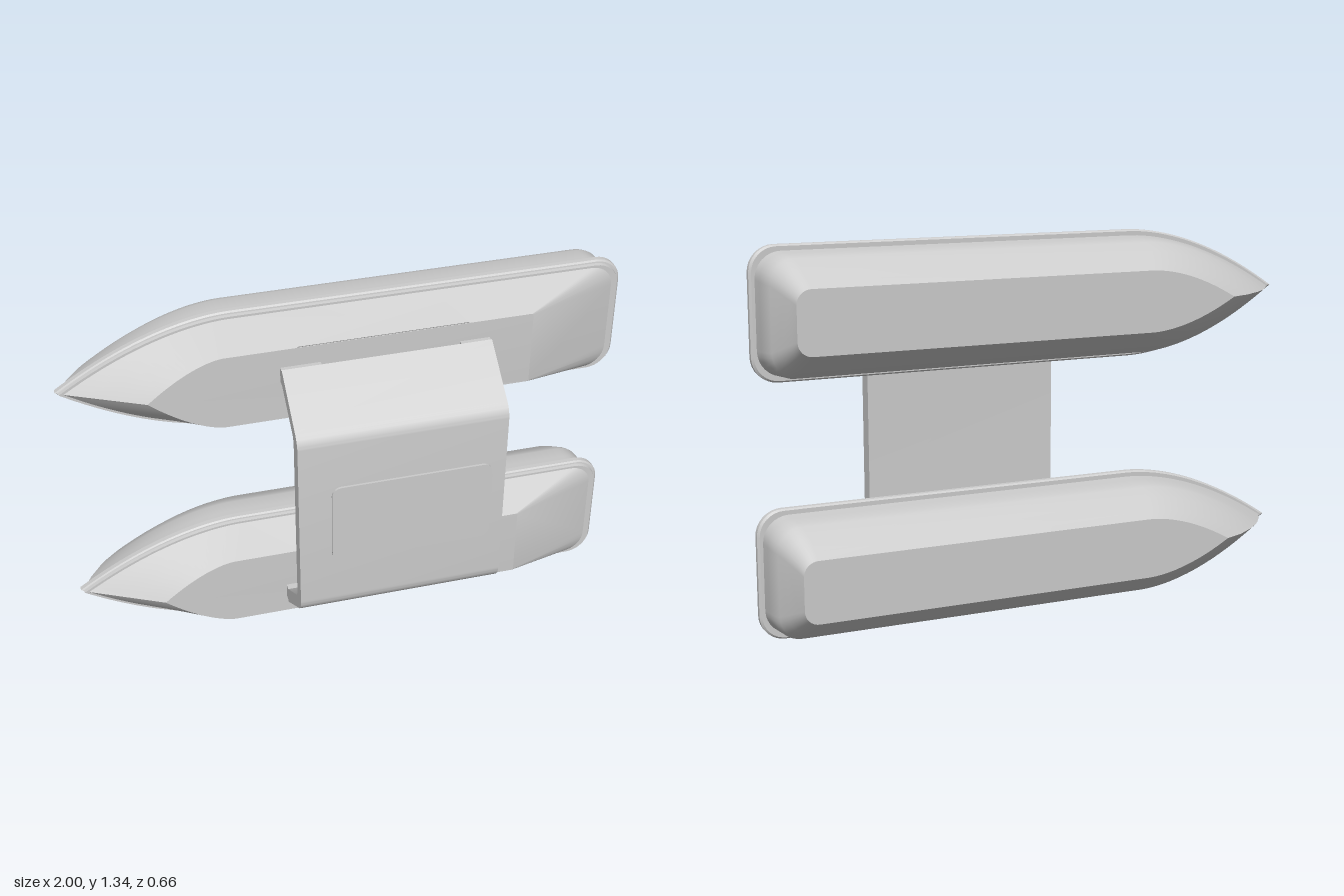
import * as THREE from 'three';
import { toCreasedNormals } from 'three/addons/utils/BufferGeometryUtils.js';

const MID = 0.67; // height of the mirror line between the two hulls
const mat = new THREE.MeshStandardMaterial({ color: 0xcccccc });

function add(parent, geo, name) {
  const mesh = new THREE.Mesh(geo, mat);
  mesh.name = name;
  parent.add(mesh);
  return mesh;
}

// Boat plan outline: pointed bow at -x, rounded stern corners at +x
function outline({ bow, bowEnd, stern, half, r, p = 1.8 }) {
  const side = [];
  const nBow = 20, nArc = 8;
  for (let i = 0; i <= nBow; i++) {
    const t = i / nBow;
    side.push([bow + (bowEnd - bow) * t, half * (1 - Math.pow(1 - t, p))]);
  }
  for (let i = 0; i <= nArc; i++) {
    const a = (i / nArc) * Math.PI / 2;
    side.push([stern - r + r * Math.sin(a), half - r + r * Math.cos(a)]);
  }
  const other = side.slice(1).reverse().map(([x, y]) => [x, -y]);
  return side.concat(other);
}

// Skin over outlines stacked along z, closed at both ends
function loft(levels, crease) {
  const pos = [], idx = [];
  let n = 0;
  for (const level of levels) {
    const pts = outline(level);
    n = pts.length;
    for (const [x, y] of pts) pos.push(x, y, level.z);
  }
  const last = (levels.length - 1) * n;
  for (let l = 0; l < levels.length - 1; l++) {
    for (let i = 0; i < n; i++) {
      const a = l * n + i, b = l * n + (i + 1) % n, c = b + n, d = a + n;
      idx.push(a, d, c, a, c, b);
    }
  }
  for (let i = 1; i < n - 1; i++) idx.push(0, i, i + 1, last, last + i + 1, last + i);
  const geo = new THREE.BufferGeometry();
  geo.setAttribute('position', new THREE.Float32BufferAttribute(pos, 3));
  geo.setIndex(idx);
  return toCreasedNormals(geo, crease);
}

const level = (z, bow, bowEnd, stern, half, r, p) => ({ z, bow, bowEnd, stern, half, r, p });

// Thin trapezoid lying on the sloping side of the deck
function sidePanelGeometry() {
  const s = new THREE.Shape();
  s.moveTo(-0.2, 0);
  s.lineTo(0.4, 0);
  s.lineTo(0.34, 0.092);
  s.lineTo(-0.14, 0.092);
  return new THREE.ExtrudeGeometry(s, { depth: 0.006, bevelEnabled: false });
}

function createHull(outer) {
  const hull = new THREE.Group();
  // lower body
  add(hull, loft([
    level(-0.33, -0.69, -0.36, 0.915, 0.108, 0.05),
    level(-0.3, -0.765, -0.38, 0.925, 0.13, 0.06),
    level(-0.25, -0.84, -0.4, 0.945, 0.165, 0.075),
    level(-0.205, -0.892, -0.4, 0.963, 0.193, 0.085),
    level(-0.185, -0.91, -0.4, 0.972, 0.2, 0.09),
    level(-0.13, -0.953, -0.4, 0.976, 0.204, 0.09),
    level(-0.075, -0.985, -0.4, 0.98, 0.208, 0.09),
  ], 0.5), 'hullBody');
  // rub rail around the joint
  add(hull, loft([
    level(-0.088, -0.988, -0.4, 0.99, 0.222, 0.085),
    level(-0.082, -1, -0.4, 0.998, 0.2275, 0.09),
    level(-0.064, -1, -0.4, 0.998, 0.2275, 0.09),
    level(-0.059, -0.994, -0.4, 0.992, 0.222, 0.085),
    level(-0.058, -0.99, -0.4, 0.988, 0.217, 0.085),
    level(-0.046, -0.988, -0.4, 0.986, 0.215, 0.085),
  ], 0.4), 'rubRail');
  // sloping deck with a flat top and a ramp at the stern
  add(hull, loft([
    level(-0.05, -0.98, -0.4, 0.975, 0.209, 0.08),
    level(0.082, -0.71, -0.45, 0.63, 0.14, 0.006, 1.6),
  ], 0.4), 'deck');
  // panel on the outboard slope
  const panel = add(hull, sidePanelGeometry(), 'sidePanel');
  const slope = Math.atan2(0.069, 0.132);
  panel.position.set(0, 0.139, 0.08);
  panel.rotation.x = -(Math.PI / 2 - slope);
  if (outer < 0) hull.rotation.x = 0;
  return hull;
}

// Folded plate joining the hulls, drawn as (-z, y) and extruded along x
function bridgeGeometry() {
  const up = [ // upper half: outer edge from the middle, then inner edge back
    [0.32, 1.0], [0.32, 1.035], [0.292, 1.057], [0.107, 1.19],
    [0.082, 1.145], [0.25, 1.028], [0.265, 1.017], [0.265, 0.985],
  ];
  const P = (i, m) => [-up[i][0], m ? 2 * MID - up[i][1] : up[i][1]];
  const s = new THREE.Shape();
  s.moveTo(...P(0));
  s.quadraticCurveTo(...P(1), ...P(2));
  s.lineTo(...P(3));
  s.lineTo(...P(4));
  s.lineTo(...P(5));
  s.quadraticCurveTo(...P(6), ...P(7));
  s.lineTo(...P(7, true));
  s.quadraticCurveTo(...P(6, true), ...P(5, true));
  s.lineTo(...P(4, true));
  s.lineTo(...P(3, true));
  s.lineTo(...P(2, true));
  s.quadraticCurveTo(...P(1, true), ...P(0, true));
  s.closePath();
  const geo = new THREE.ExtrudeGeometry(s, { depth: 0.735, bevelEnabled: false, curveSegments: 10 });
  geo.rotateY(Math.PI / 2).translate(-0.26, 0, 0);
  return toCreasedNormals(geo, 0.5);
}

// Raised rounded plate on the face of the bridge
function plateGeometry(x0, x1, y0, y1, r) {
  const s = new THREE.Shape();
  s.moveTo(x0 + r, y0);
  s.lineTo(x1 - r, y0);
  s.absarc(x1 - r, y0 + r, r, -Math.PI / 2, 0);
  s.absarc(x1 - r, y1 - r, r, 0, Math.PI / 2);
  s.absarc(x0 + r, y1 - r, r, Math.PI / 2, Math.PI);
  s.absarc(x0 + r, y0 + r, r, Math.PI, Math.PI * 1.5);
  return toCreasedNormals(new THREE.ExtrudeGeometry(s, { depth: 0.012, bevelEnabled: false }), 0.5);
}

export function createModel() {
  const model = new THREE.Group();
  model.name = 'catamaran';

  // the two hulls, each with its panel facing outboard
  const upper = createHull(1);
  upper.name = 'upperHull';
  upper.position.y = MID + 0.4425;
  const lower = createHull(1);
  lower.name = 'lowerHull';
  lower.position.y = MID - 0.4425;
  lower.scale.y = -1;
  model.add(upper, lower);

  add(model, bridgeGeometry(), 'bridge');
  add(model, plateGeometry(-0.145, 0.425, 0.51, 0.83, 0.035), 'hatch').position.z = 0.316;

  // mounting feet between the bridge ends and the decks
  for (const side of [1, -1]) {
    for (const [x0, x1] of [[-0.26, -0.12], [0.37, 0.475]]) {
      const foot = add(model, new THREE.BoxGeometry(x1 - x0, 0.056, 0.035), 'foot');
      foot.position.set((x0 + x1) / 2, MID + side * 0.485, 0.09);
    }
  }
  return model;
}
